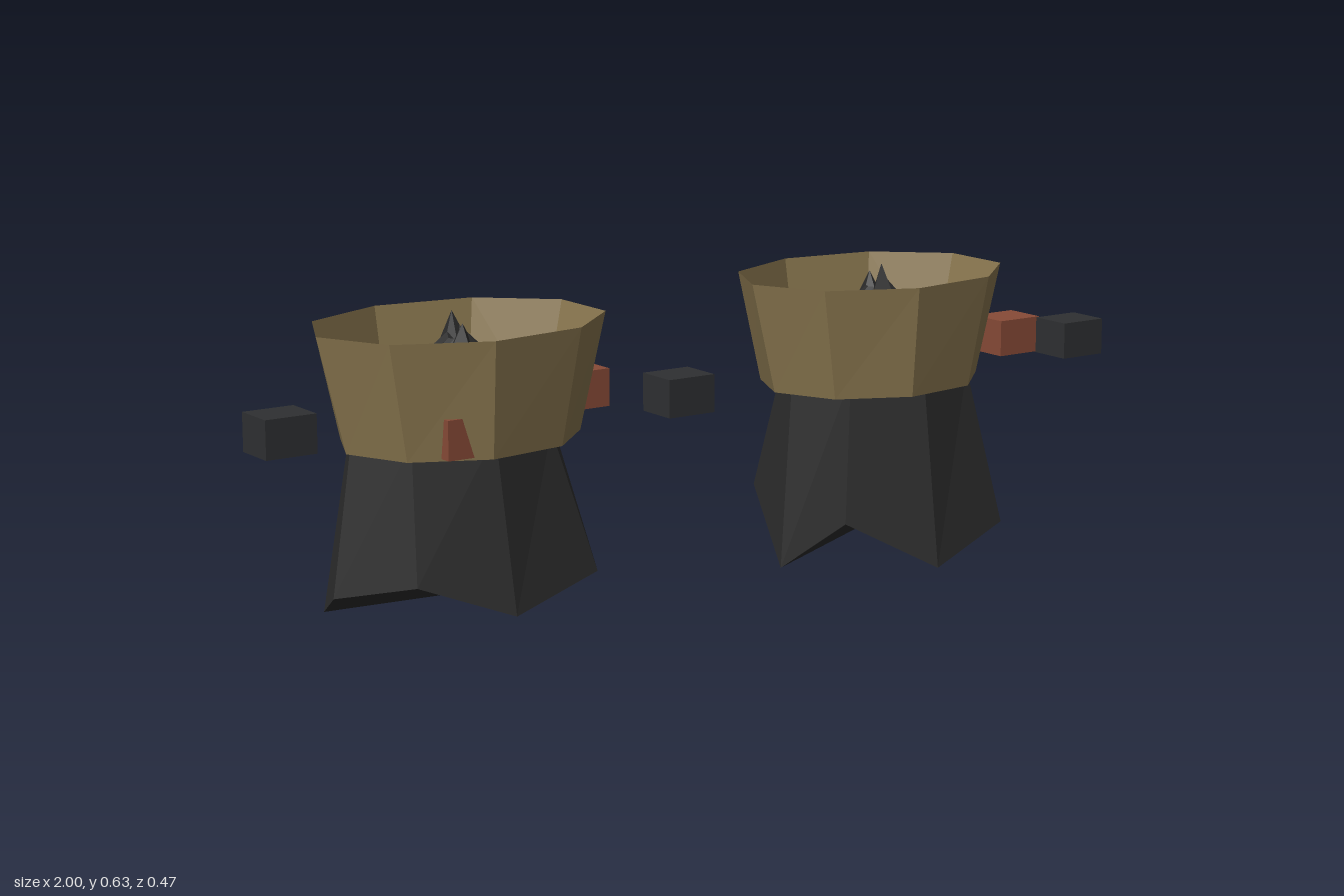
import * as THREE from 'three';

const cuffMat = new THREE.MeshStandardMaterial({ color: 0x8b7850, side: THREE.DoubleSide });
const bodyMat = new THREE.MeshStandardMaterial({ color: 0x2d2d2d, side: THREE.DoubleSide });
const redMat = new THREE.MeshStandardMaterial({ color: 0x884b37 });
const darkMat = new THREE.MeshStandardMaterial({ color: 0x2f3032 });
cuffMat.name = 'khaki'; bodyMat.name = 'charcoal'; redMat.name = 'rust'; darkMat.name = 'slate';

// Ring of n points around an ellipse; y may be a number or one height per point
function ring(n, cx, rx, rz, y, start = 0) {
  return Array.from({ length: n }, (_, i) => {
    const a = start + (i / n) * Math.PI * 2;
    return [cx + Math.cos(a) * rx, Array.isArray(y) ? y[i] : y, Math.sin(a) * rz];
  });
}

// Faceted skin through rings listed from bottom to top
function loft(rings) {
  const pos = [];
  for (let r = 0; r < rings.length - 1; r++) {
    const lo = rings[r], hi = rings[r + 1], n = lo.length;
    for (let i = 0; i < n; i++) {
      const j = (i + 1) % n;
      pos.push(...lo[i], ...hi[i], ...lo[j], ...lo[j], ...hi[i], ...hi[j]);
    }
  }
  const g = new THREE.BufferGeometry();
  g.setAttribute('position', new THREE.Float32BufferAttribute(pos, 3));
  g.computeVertexNormals();
  return g;
}

function addMesh(parent, name, geometry, material) {
  const m = new THREE.Mesh(geometry, material);
  m.name = name;
  parent.add(m);
  return m;
}

// Flared nine-sided cuff, open on top, with a flat floor
function cuff(cx) {
  return loft([
    ring(9, cx, 0, 0, 0.38, Math.PI),
    ring(9, cx, 0.25, 0.203, 0.38, Math.PI),
    ring(9, cx, 0.308, 0.234, 0.613, Math.PI),
  ]);
}

// Ragged eight-sided body: uneven hem, sloping sides and a pointed tip inside the cuff
function body(hem, topX, tipX, topY, tipY) {
  return loft([
    ring(8, topX, 0, 0, 0.07),
    hem,
    ring(8, topX, 0.22, 0.165, topY),
    ring(8, tipX, 0.02, 0.02, tipY),
    ring(8, tipX, 0, 0, 0.57),
  ]);
}

export function createModel() {
  const group = new THREE.Group();

  // Hem points run +x, front right, front, front left, -x, back left, back, back right
  const bodies = [
    {
      side: 'right', cuffX: -0.589, topX: -0.607, tipX: -0.59,
      hem: [[-0.307, 0.09, 0], [-0.375, 0.115, 0.16], [-0.595, 0.07, 0.215], [-0.778, 0.14, 0.155],
        [-0.874, 0.1, 0], [-0.805, 0.025, -0.17], [-0.59, 0.08, -0.21], [-0.375, 0.04, -0.16]],
      topY: [0.42, 0.4, 0.42, 0.41, 0.41, 0.42, 0.4, 0.42],
      tipY: [0.58, 0.59, 0.61, 0.58, 0.58, 0.59, 0.63, 0.6],
    },
    {
      side: 'left', cuffX: 0.422, topX: 0.437, tipX: 0.435,
      hem: [[0.73, 0.055, 0], [0.65, 0.07, 0.17], [0.425, 0.015, 0.235], [0.238, 0.12, 0.16],
        [0.19, 0.0, 0], [0.235, 0.145, -0.16], [0.425, 0.12, -0.225], [0.62, 0.12, -0.155]],
      topY: [0.41, 0.4, 0.41, 0.42, 0.4, 0.42, 0.41, 0.41],
      tipY: [0.59, 0.6, 0.63, 0.58, 0.58, 0.58, 0.61, 0.58],
    },
  ];
  for (const b of bodies) {
    addMesh(group, b.side + 'Cuff', cuff(b.cuffX), cuffMat);
    addMesh(group, b.side + 'Body', body(b.hem, b.topX, b.tipX, b.topY, b.tipY), bodyMat);
  }

  // Small blocks set around the cuffs
  const blockGeo = new THREE.BoxGeometry(0.109, 0.078, 0.094);
  const blocks = [
    [-0.945, -0.064, darkMat], [-0.112, 0.06, darkMat], [0.945, 0.043, darkMat],
    [-0.251, -0.112, redMat], [-0.668, 0.138, redMat], [0.85, -0.058, redMat],
  ];
  for (const [x, z, mat] of blocks) {
    addMesh(group, mat === redMat ? 'redBlock' : 'darkBlock', blockGeo, mat).position.set(x, 0.424, z);
  }
  return group;
}
